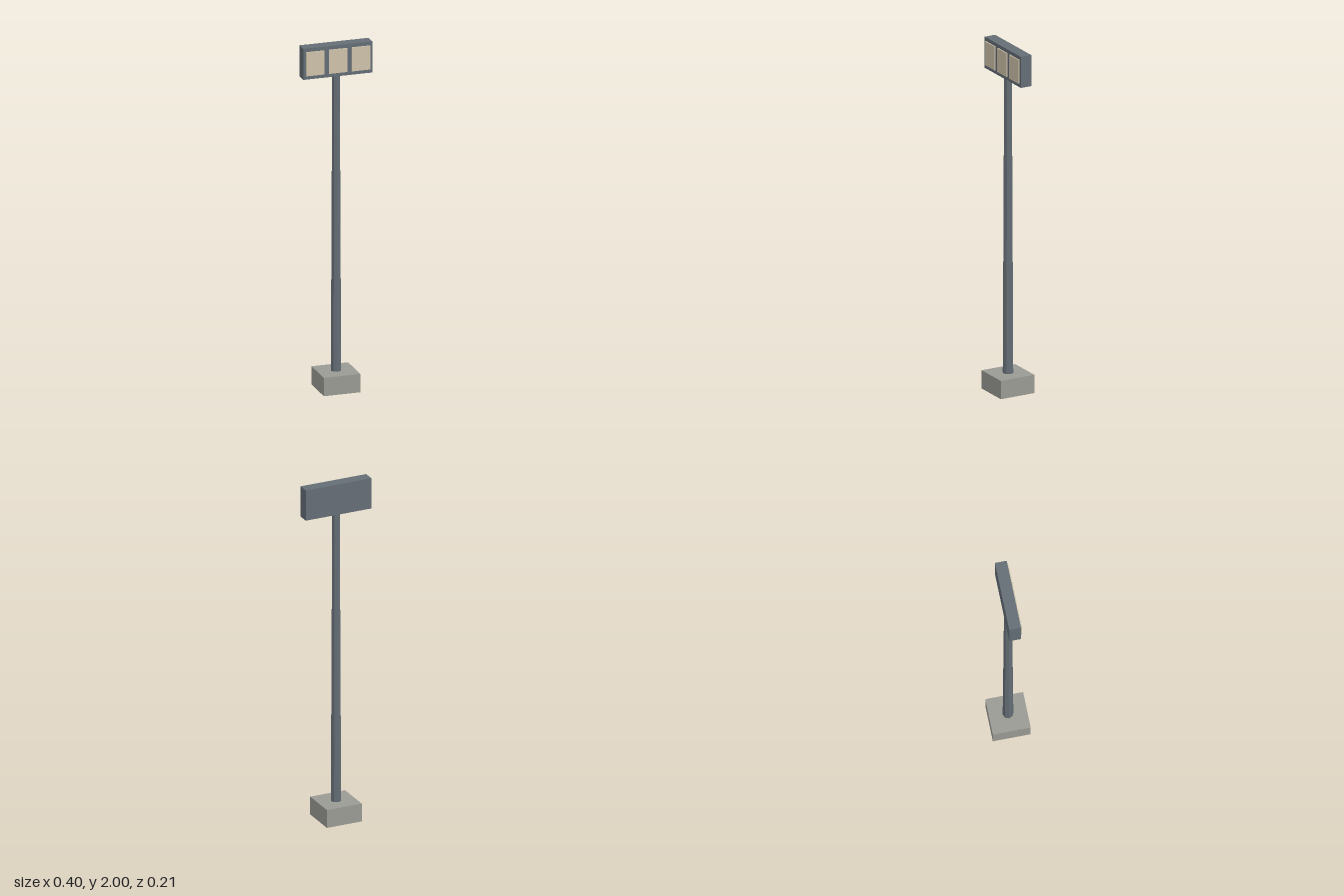
import * as THREE from 'three';

export function createModel() {
  const group = new THREE.Group();
  group.name = 'floodlightMast';

  const material = (name, color, flatShading = false) => {
    const m = new THREE.MeshStandardMaterial({ color, flatShading });
    m.name = name;
    return m;
  };
  const steel = material('steel grey', 0x646d75, true);
  const concrete = material('concrete grey', 0x9a9a94, true);
  const lampGlass = material('warm lamp cream', 0xcdc2aa, true);

  const add = (name, geometry, mat, x, y, z) => {
    const mesh = new THREE.Mesh(geometry, mat);
    mesh.name = name;
    mesh.position.set(x, y, z);
    group.add(mesh);
  };
  const axisZ = -0.001;

  // Square concrete footing
  add('footing', new THREE.BoxGeometry(0.212, 0.106, 0.212), concrete, 0, 0.053, axisZ);

  // Slim tapered eight-sided pole
  const poleBottom = 0.1, poleTop = 1.83;
  add('pole', new THREE.CylinderGeometry(0.022, 0.03, poleTop - poleBottom, 8),
    steel, 0, (poleBottom + poleTop) / 2, axisZ);

  // Lamp housing
  add('lampHousing', new THREE.BoxGeometry(0.4, 0.18, 0.066), steel, 0, 1.91, axisZ);

  // Three lamp panels standing slightly proud of the housing front
  for (let i = -1; i <= 1; i++) {
    add('lampPanel', new THREE.BoxGeometry(0.106, 0.138, 0.009), lampGlass, i * 0.132, 1.91, 0.0345);
  }

  return group;
}
